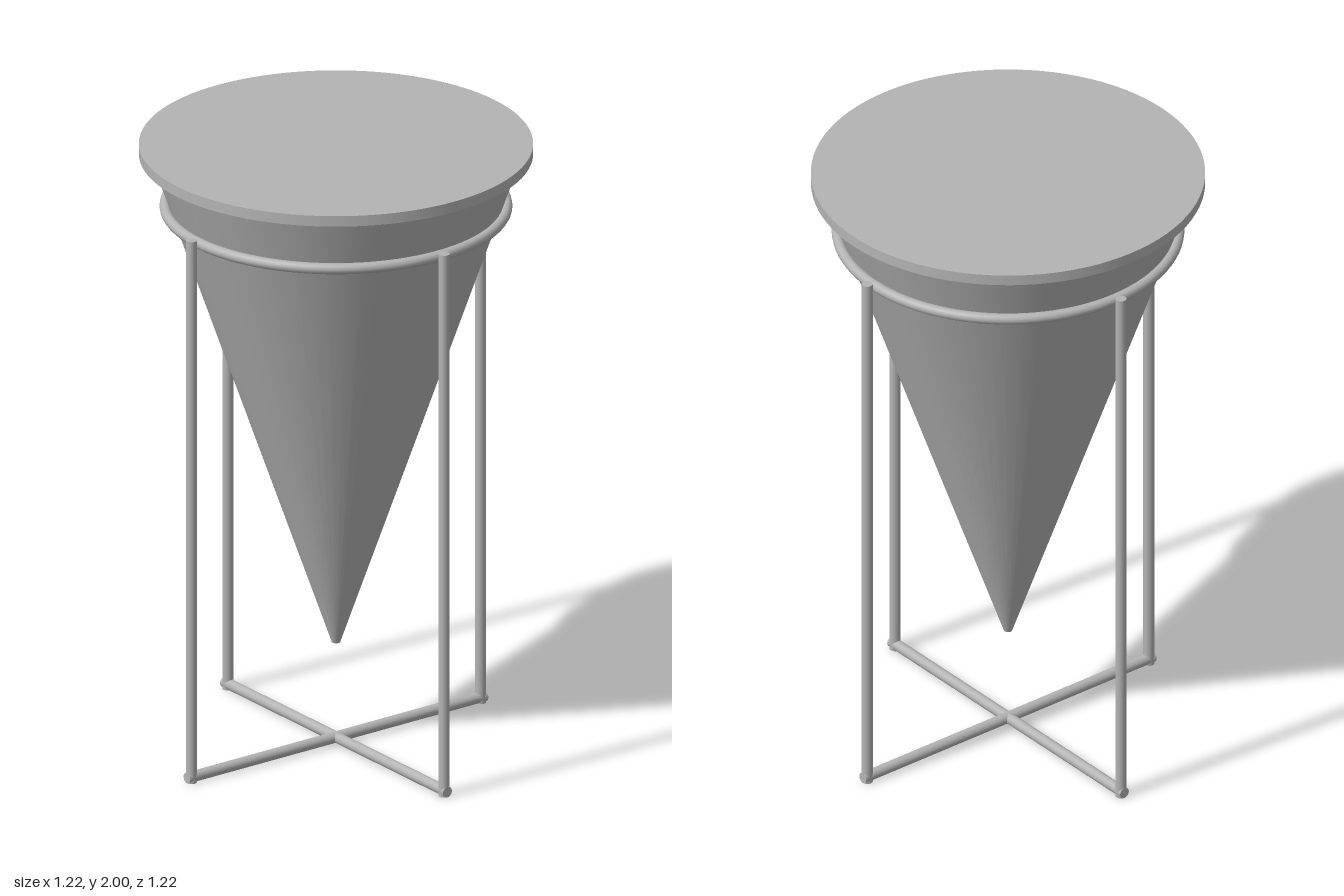
import * as THREE from 'three';

export function createModel() {
  const group = new THREE.Group();
  const grey = new THREE.MeshStandardMaterial({ color: 0xb4b4b4 });
  grey.name = 'grey metal';

  const add = (name, geometry, x = 0, y = 0, z = 0) => {
    const mesh = new THREE.Mesh(geometry, grey);
    mesh.name = name;
    mesh.position.set(x, y, z);
    group.add(mesh);
    return mesh;
  };

  const rod = 0.0175;      // radius of the frame rods
  const legOffset = 0.56;  // distance of the legs from the axis
  const ringHeight = 1.792;

  // Round flat lid
  add('lid', new THREE.CylinderGeometry(0.612, 0.612, 0.035, 96), 0, 1.9825, 0);

  // Tapering body with a small blunt tip
  const bodyTop = 1.966, bodyTip = 0.335;
  add('coneBody', new THREE.CylinderGeometry(0.575, 0.013, bodyTop - bodyTip, 64),
    0, (bodyTop + bodyTip) / 2, 0);

  // Ring that carries the cone
  add('supportRing', new THREE.TorusGeometry(0.53, rod, 16, 96).rotateX(Math.PI / 2), 0, ringHeight, 0);

  // Four upright legs
  const legTop = ringHeight + rod;
  const legGeometry = new THREE.CylinderGeometry(rod, rod, legTop, 16);
  ['leftLeg', 'frontLeg', 'rightLeg', 'backLeg'].forEach((name, i) => {
    const a = i * Math.PI / 2;
    add(name, legGeometry, legOffset * Math.cos(a), legTop / 2, legOffset * Math.sin(a));
  });

  // Crossed floor bars joining opposite legs
  const barGeometry = new THREE.CylinderGeometry(rod, rod, 2 * (legOffset + rod), 16);
  add('sideToSideBar', barGeometry, 0, rod, 0).rotation.z = Math.PI / 2;
  add('frontToBackBar', barGeometry, 0, rod, 0).rotation.x = Math.PI / 2;

  return group;
}
